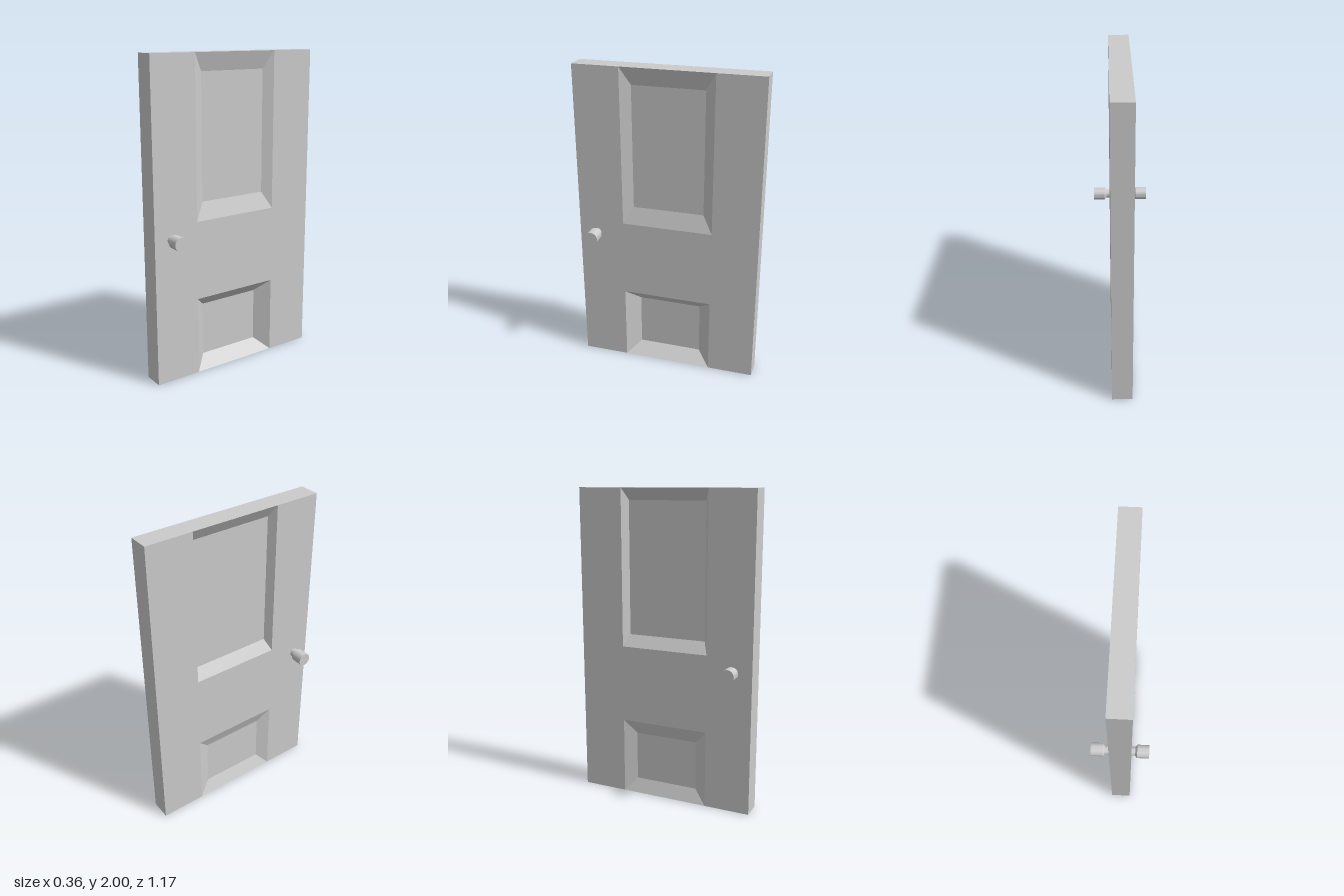
import * as THREE from 'three';
import { mergeVertices, toCreasedNormals } from 'three/addons/utils/BufferGeometryUtils.js';

const H = 2, HALF_W = 0.585, OPEN = 0.29;
const X_RIGHT = 0.07, X_LEFT = -0.06;

// Flat-shaded geometry from four-cornered faces (corners counter-clockwise seen from outside)
function quadGeometry(quads) {
  const pos = [];
  for (const [a, b, c, d] of quads) pos.push(...a, ...b, ...c, ...a, ...c, ...d);
  const geo = new THREE.BufferGeometry();
  geo.setAttribute('position', new THREE.Float32BufferAttribute(pos, 3));
  geo.computeVertexNormals();
  return geo;
}

// Rectangle corners in a plane of constant x, ordered to face along dir
function rect(x, z0, z1, y0, y1, dir) {
  const r = [[x, y0, z1], [x, y0, z0], [x, y1, z0], [x, y1, z1]];
  return dir > 0 ? r : r.reverse();
}

// One face of the slab: stiles, middle rail and two bevelled recesses
function slabFace(x, dir, recesses) {
  const quads = [
    rect(x, -HALF_W, -OPEN, 0, H, dir),
    rect(x, OPEN, HALF_W, 0, H, dir),
    rect(x, -OPEN, OPEN, 0.5, 1, dir),
  ];
  for (const { y0, y1, depth, w, h } of recesses) {
    const outer = rect(x, -OPEN, OPEN, y0, y1, dir);
    const inner = rect(x - dir * depth, -OPEN + w, OPEN - w, y0 + h, y1 - h, dir);
    quads.push(inner);
    for (let i = 0; i < 4; i++) {
      const j = (i + 1) % 4;
      quads.push([outer[i], outer[j], inner[j], inner[i]]);
    }
  }
  return quads;
}

function createModel() {
  const model = new THREE.Group();
  model.name = 'door';
  const material = new THREE.MeshStandardMaterial({ color: 0xcccccc });

  // Door slab with panels on both faces
  const a = X_LEFT, b = X_RIGHT, w = HALF_W;
  const slab = new THREE.Mesh(quadGeometry([
    ...slabFace(b, 1, [
      { y0: 0, y1: 0.5, depth: 0.077, w: 0.085, h: 0.077 },
      { y0: 1, y1: H, depth: 0.034, w: 0.063, h: 0.11 },
    ]),
    ...slabFace(a, -1, [
      { y0: 0, y1: 0.5, depth: 0.036, w: 0.08, h: 0.09 },
      { y0: 1, y1: H, depth: 0.047, w: 0.032, h: 0.075 },
    ]),
    [[a, H, w], [b, H, w], [b, H, -w], [a, H, -w]],
    [[a, 0, -w], [b, 0, -w], [b, 0, w], [a, 0, w]],
    [[a, 0, w], [b, 0, w], [b, H, w], [a, H, w]],
    [[b, 0, -w], [a, 0, -w], [a, H, -w], [b, H, -w]],
  ]), material);
  slab.name = 'doorSlab';
  model.add(slab);

  // Turned knobs: neck, short flare and cylindrical grip
  const profile = [[0, 0], [0.028, 0], [0.028, 0.023], [0.042, 0.035], [0.042, 0.11], [0, 0.11]]
    .map(([r, y]) => new THREE.Vector2(r, y));
  const lathe = new THREE.LatheGeometry(profile, 32);
  lathe.deleteAttribute('normal');
  lathe.deleteAttribute('uv');
  const knobGeo = toCreasedNormals(mergeVertices(lathe), 0.5);
  for (const [name, x, dir] of [['leftKnob', 0.07, 1], ['rightKnob', -0.074, -1]]) {
    const knob = new THREE.Mesh(knobGeo, material);
    knob.name = name;
    knob.position.set(x, 0.917, 0.47);
    knob.rotation.z = -dir * Math.PI / 2;
    model.add(knob);
  }
  return model;
}

export { createModel };
